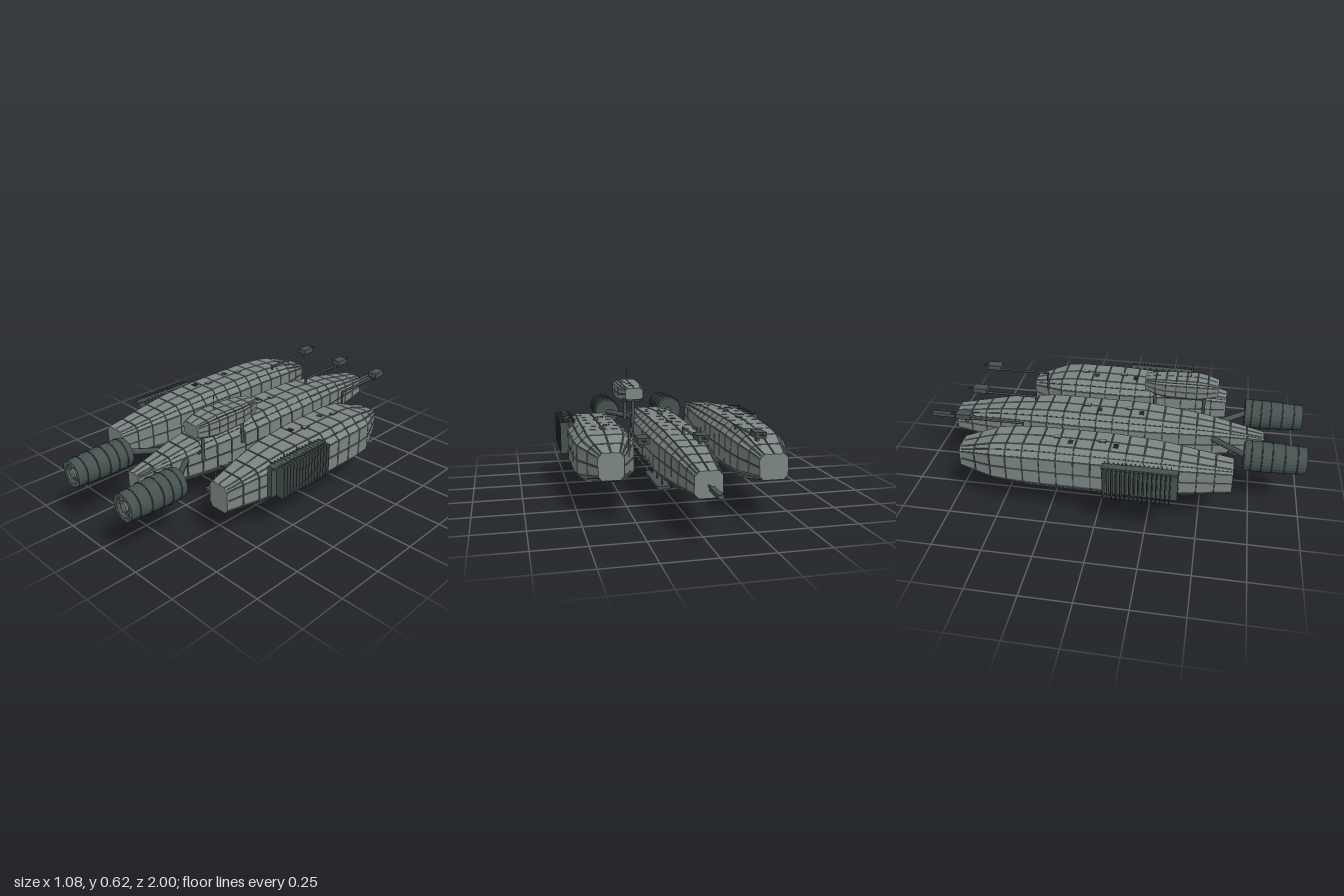
import * as THREE from 'three';

export function createModel() {
  const root = new THREE.Group();
  root.name = 'tripleHullAirship';
  const mat = (name, color) => {
    const m = new THREE.MeshStandardMaterial({ color });
    m.name = name;
    return m;
  };
  const plate = mat('hull plate grey', 0x7b8583);
  const seam = mat('seam dark grey', 0x3f4a48);
  const metal = mat('dark metal', 0x465250);
  const trim = mat('engine trim grey', 0x6f7a77);

  const add = (parent, name, geo, material, x = 0, y = 0, z = 0) => {
    const m = new THREE.Mesh(geo, material);
    m.name = name;
    m.position.set(x, y, z);
    parent.add(m);
    return m;
  };
  const group = (name, parent = root) => {
    const g = new THREE.Group();
    g.name = name;
    parent.add(g);
    return g;
  };
  const box = (parent, name, m, w, h, d, x, y, z) =>
    add(parent, name, new THREE.BoxGeometry(w, h, d), m, x, y, z);
  // Round bar between two points
  const rod = (parent, name, m, a, b, r, sides = 8) => {
    const A = new THREE.Vector3(...a), B = new THREE.Vector3(...b), d = B.clone().sub(A);
    const o = add(parent, name, new THREE.CylinderGeometry(r, r, d.length(), sides), m);
    o.position.copy(A).add(B).multiplyScalar(0.5);
    o.quaternion.setFromUnitVectors(new THREE.Vector3(0, 1, 0), d.normalize());
  };
  const quad = (out, a, b, c, d) => {
    for (const p of [a, b, c, a, c, d]) out.push(p.x, p.y, p.z);
  };
  const toGeometry = (out) => {
    const g = new THREE.BufferGeometry();
    g.setAttribute('position', new THREE.Float32BufferAttribute(out, 3));
    g.computeVertexNormals();
    return g;
  };

  // Eight-sided cross-section, counter-clockwise seen from +z
  const section = ([z, hw, yb, yt, cut], cx, shrink = 0) => {
    const w = hw - shrink, h = (yt - yb) / 2 - shrink, cy = (yb + yt) / 2;
    const u = w * (1 - cut), v = h * (1 - cut * 1.1);
    return [[w, -v], [w, v], [u, h], [-u, h], [-w, v], [-w, -v], [-u, -h], [u, -h]]
      .map(([x, y]) => new THREE.Vector3(cx + x, cy + y, z));
  };
  // Profile row interpolated at z
  const sample = (rows, z) => {
    let i = 0;
    while (i < rows.length - 2 && z > rows[i + 1][0]) i++;
    const t = (z - rows[i][0]) / (rows[i + 1][0] - rows[i][0]);
    return rows[i].map((n, k) => n + (rows[i + 1][k] - n) * t);
  };

  // Dark core covered by raised plates; rows are [z, halfWidth, bottom, top, cornerCut]
  function hull(name, cx, rows, step, split, gap) {
    const g = group(name);
    const z0 = rows[0][0], z1 = rows[rows.length - 1][0];
    const n = Math.round((z1 - z0) / step);
    const core = [], plates = [];
    for (let i = 0; i < n; i++) {
      const ra = sample(rows, z0 + (z1 - z0) * i / n), rb = sample(rows, z0 + (z1 - z0) * (i + 1) / n);
      const ca = section(ra, cx, 0.005), cb = section(rb, cx, 0.005);
      const pa = section(ra, cx), pb = section(rb, cx);
      for (let j = 0; j < 8; j++) {
        const k = (j + 1) % 8;
        quad(core, ca[j], ca[k], cb[k], cb[j]);
        const normal = pa[k].clone().sub(pa[j]).cross(pb[j].clone().sub(pa[j])).normalize();
        for (let s = 0; s < split; s++) {
          const at = (u, v) => pa[j].clone().lerp(pa[k], u).lerp(pb[j].clone().lerp(pb[k], u), v);
          const du = gap / pa[j].distanceTo(pa[k]), dv = gap / step;
          const u0 = s / split + du, u1 = (s + 1) / split - du;
          const top = [at(u0, dv), at(u1, dv), at(u1, 1 - dv), at(u0, 1 - dv)];
          const low = top.map((p) => p.clone().addScaledVector(normal, -0.007));
          quad(plates, ...top);
          for (let e = 0; e < 4; e++) {
            const f = (e + 1) % 4;
            quad(plates, low[e], low[f], top[f], top[e]);
          }
        }
      }
    }
    add(g, 'hullCore', toGeometry(core), seam);
    add(g, 'hullPlates', toGeometry(plates), plate);
    // Flat end caps
    for (const [r, dz] of [[rows[0], -0.001], [rows[rows.length - 1], -0.007]]) {
      const shape = new THREE.Shape(section(r, cx).map((p) => new THREE.Vector2(p.x, p.y)));
      add(g, 'endCap', new THREE.ExtrudeGeometry(shape, { depth: 0.008, bevelEnabled: false }), plate, 0, 0, r[0] + dz);
    }
    return g;
  }

  const centre = hull('centreHull', 0, [
    [-0.83, 0.063, 0.2, 0.32, 0.32], [-0.55, 0.105, 0.165, 0.372, 0.36], [-0.3, 0.13, 0.147, 0.397, 0.38],
    [0.18, 0.13, 0.147, 0.397, 0.38], [0.5, 0.09, 0.178, 0.37, 0.36], [0.8, 0.037, 0.226, 0.313, 0.27],
  ], 0.085, 2, 0.003);
  const right = hull('rightHull', -0.347, [
    [-0.69, 0.068, 0.22, 0.34, 0.3], [-0.5, 0.122, 0.18, 0.402, 0.36], [-0.3, 0.126, 0.165, 0.418, 0.38],
    [0.05, 0.126, 0.165, 0.418, 0.38], [0.28, 0.115, 0.175, 0.407, 0.36], [0.65, 0.064, 0.217, 0.36, 0.27],
  ], 0.085, 2, 0.003);
  const left = hull('leftHull', 0.36, [
    [-0.485, 0.06, 0.205, 0.335, 0.3], [-0.32, 0.138, 0.152, 0.385, 0.36], [-0.24, 0.147, 0.145, 0.395, 0.38],
    [0.05, 0.147, 0.145, 0.395, 0.38], [0.3, 0.12, 0.16, 0.383, 0.36], [0.6, 0.057, 0.188, 0.322, 0.27],
  ], 0.085, 2, 0.003);

  // Deck hatches and vent slits
  for (const [g, x, y] of [[right, -0.347, 0.418], [left, 0.36, 0.395], [centre, 0, 0.397]]) {
    for (const z of g === centre ? [-0.12, 0.1] : [-0.2, 0.02]) {
      box(g, 'hatchRim', seam, 0.026, 0.006, 0.036, x, y, z);
      box(g, 'hatchLid', plate, 0.018, 0.008, 0.028, x, y, z);
      for (let i = 0; i < 3; i++) box(g, 'ventSlit', seam, 0.004, 0.006, 0.024, x - 0.045 + i * 0.012, y, z + 0.07);
    }
  }

  // Raised bridge on two posts, with a thin mast
  const bridge = hull('bridge', 0.127, [
    [0.17, 0.048, 0.468, 0.53, 0.3], [0.25, 0.072, 0.438, 0.54, 0.33],
    [0.46, 0.077, 0.437, 0.546, 0.33], [0.55, 0.05, 0.458, 0.522, 0.25],
  ], 0.054, 2, 0.002);
  for (const z of [0.22, 0.48]) rod(bridge, 'bridgePost', metal, [0.125, 0.3, z], [0.125, 0.46, z], 0.009);
  for (const z of [0.22, 0.48]) rod(bridge, 'bridgeBrace', metal, [0.06, 0.3, z], [0.125, 0.36, z], 0.007);
  rod(bridge, 'mast', metal, [0.125, 0.53, 0.405], [0.125, 0.615, 0.405], 0.0015, 5);

  // Engines on struts
  for (const s of [-1, 1]) {
    const e = group('engine');
    e.position.set(s * 0.198, 0.31, 0);
    const profile = [[0, 0.7], [0.071, 0.7], [0.075, 0.71], [0.076, 0.8], [0.072, 0.9], [0.066, 1], [0.046, 1], [0.046, 0.975], [0, 0.975]];
    const lathe = new THREE.LatheGeometry(profile.map(([r, z]) => new THREE.Vector2(r, z)), 24).toNonIndexed();
    lathe.computeVertexNormals();
    add(e, 'engineCasing', lathe, metal).rotation.x = Math.PI / 2;
    for (const [z, r] of [[0.735, 0.076], [0.785, 0.077], [0.835, 0.076], [0.895, 0.073], [0.955, 0.07]])
      add(e, 'casingBand', new THREE.TorusGeometry(r, 0.003, 5, 24), metal, 0, 0, z);
    add(e, 'intakeRim', new THREE.RingGeometry(0.046, 0.066, 24), trim, 0, 0, 1);
    const hub = add(e, 'fanHub', new THREE.CylinderGeometry(0.022, 0.022, 0.022, 16), trim, 0, 0, 0.985);
    hub.rotation.x = Math.PI / 2;
    for (let i = 0; i < 12; i++) {
      const a = i * Math.PI / 6;
      const b = box(e, 'fanBlade', trim, 0.026, 0.006, 0.01, Math.cos(a) * 0.034, Math.sin(a) * 0.034, 0.981);
      b.rotation.z = a;
    }
    rod(e, 'engineStrut', metal, [-s * 0.15, -0.005, 0.51], [-s * 0.002, 0, 0.705], 0.015);
  }

  // Finned radiators on the outer flanks
  for (const s of [-1, 1]) {
    const r = group('radiator');
    box(r, 'radiatorPanel', metal, 0.025, 0.16, 0.36, s * 0.483, 0.299, 0.22);
    for (let i = 0; i < 16; i++)
      box(r, 'radiatorFin', metal, 0.082, 0.164, 0.004, s * 0.501, 0.299, 0.05 + i * 0.021);
    box(r, 'radiatorRail', metal, 0.03, 0.012, 0.36, s * 0.495, 0.374, 0.22);
  }

  // Rear gun booms
  for (const [x, base] of [[-0.262, 0.34], [0, 0.37], [0.26, 0.32]]) {
    const g = group('gunBoom');
    rod(g, 'boomPost', metal, [x, base, -0.4], [x, 0.424, -0.4], 0.006);
    rod(g, 'boom', metal, [x, 0.42, -0.4], [x, 0.42, -0.7], 0.006);
    box(g, 'gunMount', metal, 0.016, 0.03, 0.02, x, 0.42, -0.69);
    box(g, 'gunHousing', metal, 0.05, 0.027, 0.075, x, 0.439, -0.702);
    for (const dx of [-0.006, 0.006])
      rod(g, 'gunBarrel', metal, [x + dx, 0.443, -0.73], [x + dx, 0.443, -0.77], 0.004, 6);
  }

  // Tail gun
  const tail = group('tailGun');
  rod(tail, 'tailRod', metal, [0, 0.255, -0.82], [0, 0.255, -0.9], 0.006);
  box(tail, 'tailBarrel', metal, 0.024, 0.02, 0.13, 0, 0.255, -0.935);

  // Landing skid below the centre hull
  const skid = group('landingSkid');
  box(skid, 'skidPlate', metal, 0.072, 0.016, 0.34, 0, 0.008, 0.17);
  for (const z of [0.045, 0.17, 0.298]) rod(skid, 'skidPost', metal, [0, 0.012, z], [0, 0.18, z], 0.005);

  // Rigging cables between hulls
  const rigging = group('rigging');
  for (const s of [-1, 1]) {
    for (const [zo, zi] of [[-0.31, -0.26], [-0.2, -0.2], [-0.15, -0.1], [-0.06, -0.11], [0.02, 0.06], [0.1, 0.06], [0.15, 0.13], [0.25, 0.25], [0.27, 0.31], [0.36, 0.36]])
      rod(rigging, 'cable', metal, [s * 0.24, 0.218, zo], [s * 0.1, 0.216, zi], zo === -0.2 ? 0.004 : 0.002, 5);
  }
  return root;
}
